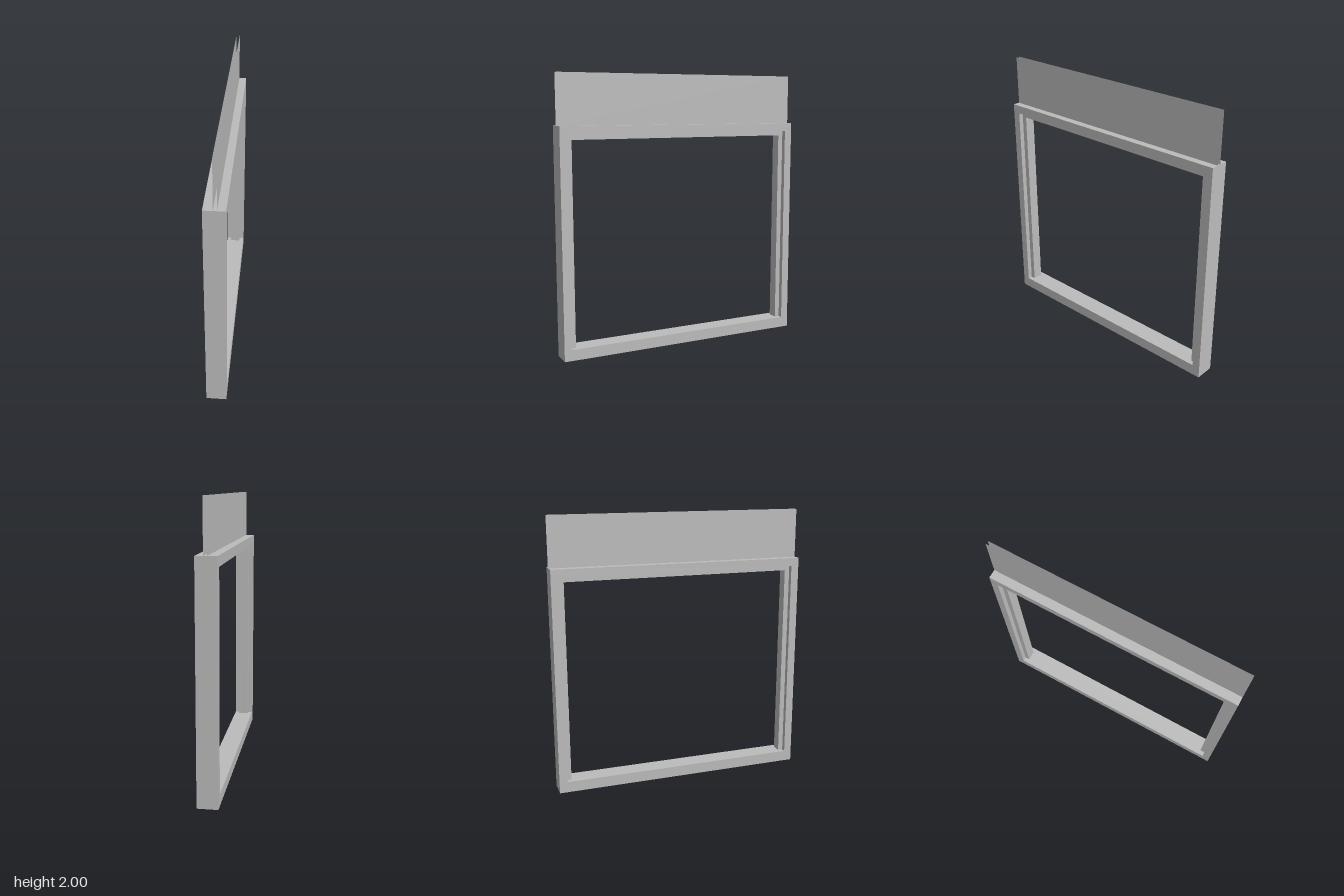
import * as THREE from 'three';

const grey = new THREE.MeshStandardMaterial({ color: 0xbcbcbc, side: THREE.DoubleSide });
grey.name = 'plain grey';

// Rectangular ring in the z-y plane, extruded along x and centred on x = 0
function ring(name, outer, inner, depth) {
  const rect = (path, [half, bottom, top]) => {
    path.moveTo(-half, bottom);
    path.lineTo(half, bottom);
    path.lineTo(half, top);
    path.lineTo(-half, top);
    path.closePath();
    return path;
  };
  const shape = rect(new THREE.Shape(), outer);
  shape.holes.push(rect(new THREE.Path(), inner));
  const geometry = new THREE.ExtrudeGeometry(shape, { depth, bevelEnabled: false });
  geometry.translate(0, 0, -depth / 2).rotateY(Math.PI / 2);
  const mesh = new THREE.Mesh(geometry, grey);
  mesh.name = name;
  return mesh;
}

export function createModel() {
  const model = new THREE.Group();
  model.name = 'windowFrame';

  // Outer frame, with a narrower stop set back from both faces
  model.add(ring('outerFrame', [0.94, 0, 1.64], [0.882, 0.08, 1.58], 0.144));
  model.add(ring('innerStop', [0.9, 0.04, 1.6], [0.845, 0.08, 1.545], 0.074));

  // Two thin sheets of the raised panel, open at their edges
  for (const x of [-0.007, 0.018]) {
    const sheet = new THREE.Mesh(new THREE.PlaneGeometry(1.88, 0.36), grey);
    sheet.name = 'raisedPanel';
    sheet.rotation.y = Math.PI / 2;
    sheet.position.set(x, 1.82, 0);
    model.add(sheet);
  }
  return model;
}
